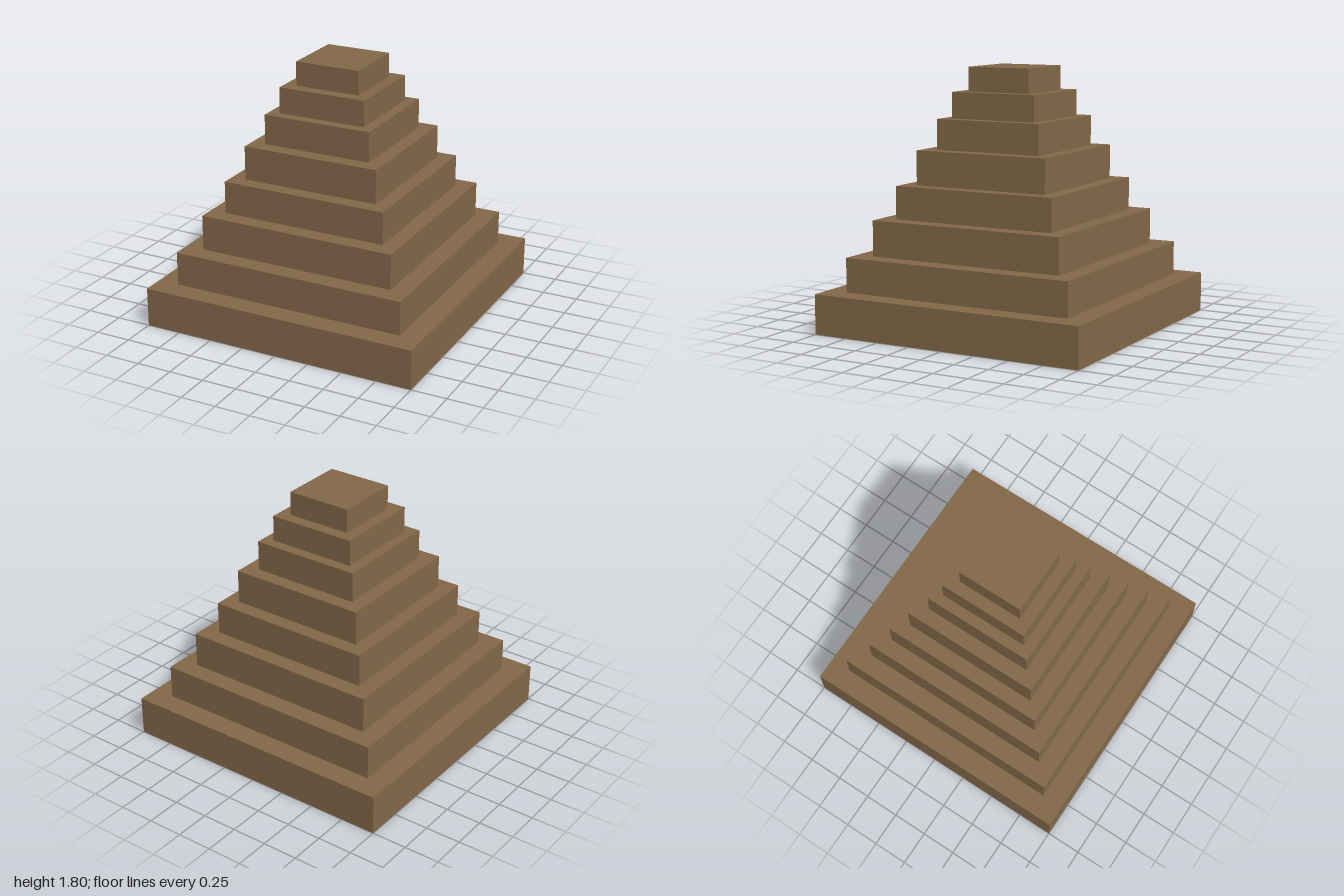
import * as THREE from 'three';

// Stepped pyramid: [half width, top height] of each tier, from the ground up
const TIERS = [
  [1.0, 0.28], [0.846, 0.52], [0.714, 0.77], [0.598, 1.0],
  [0.495, 1.24], [0.393, 1.452], [0.318, 1.635], [0.234, 1.805],
];

export function createModel() {
  const model = new THREE.Group();
  model.name = 'steppedPyramid';

  const stone = new THREE.MeshStandardMaterial({ color: 0x836849 });
  stone.name = 'brownStone';

  // Each square tier rests on the one below
  let base = 0;
  TIERS.forEach(([half, top], i) => {
    const height = top - base;
    const tier = new THREE.Mesh(new THREE.BoxGeometry(half * 2, height, half * 2), stone);
    tier.name = `tier${i + 1}`;
    tier.position.y = base + height / 2;
    model.add(tier);
    base = top;
  });

  return model;
}
